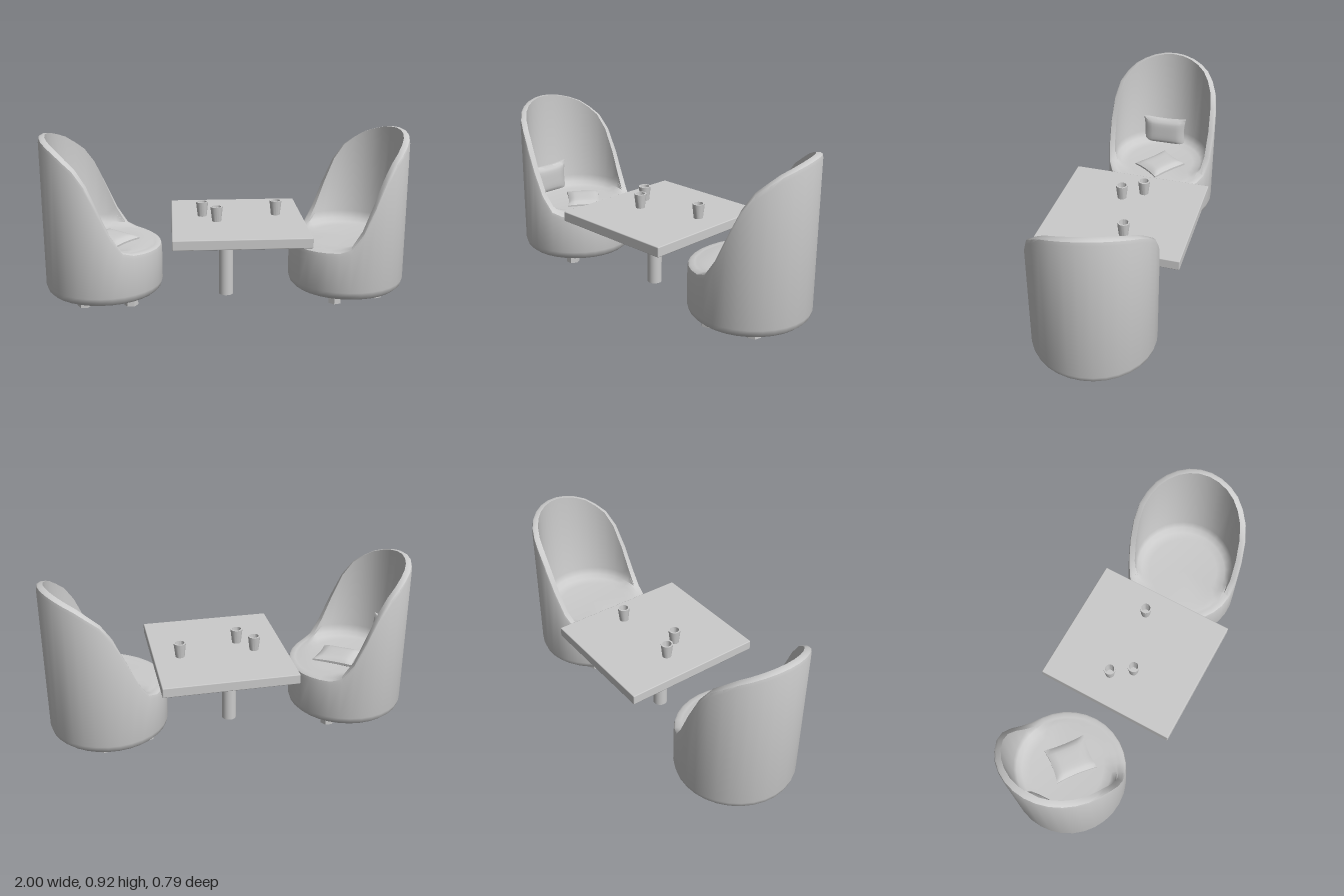
import * as THREE from 'three';
import { toCreasedNormals } from 'three/addons/utils/BufferGeometryUtils.js';
import { RoundedBoxGeometry } from 'three/addons/geometries/RoundedBoxGeometry.js';

const material = new THREE.MeshStandardMaterial({ color: 0xcccccc });
const doubleSided = new THREE.MeshStandardMaterial({ color: 0xcccccc, side: THREE.DoubleSide });

function add(parent, name, geometry, x = 0, y = 0, z = 0, mat = material) {
  const mesh = new THREE.Mesh(geometry, mat);
  mesh.name = name;
  mesh.position.set(x, y, z);
  parent.add(mesh);
  return mesh;
}

// Rim height against the cosine of the angle from the chair back (1 = back, -1 = front)
const RIM = [[-1, 0.313], [-0.56, 0.325], [-0.375, 0.347], [-0.25, 0.4], [-0.09, 0.5],
  [0.06, 0.62], [0.22, 0.72], [0.375, 0.785], [0.69, 0.865], [1, 0.92]];

function rimHeight(c) {
  const k = Math.max(1, RIM.findIndex(([x]) => x >= c - 1e-6));
  const [x0, y0] = RIM[k - 1], [x1, y1] = RIM[k];
  return THREE.MathUtils.mapLinear(c, x0, x1, y0, y1);
}

// Tub shell: one radial cross-section per angle, its wall following the rim
function tubGeometry(segments = 32) {
  const positions = [], index = [];
  let rows = 0;
  for (let i = 0; i < segments; i++) {
    const angle = (i / segments) * Math.PI * 2;
    const h = rimHeight(Math.cos(angle));
    const profile = [
      [0, 0.048], [0.27, 0.048], [0.295, 0.054], [0.314, 0.072], [0.322, 0.1],
      [0.322, h - 0.025], [0.318, h - 0.006], [0.308, h], [0.287, h],
      [0.284, Math.min(h, 0.39)], [0.272, Math.min(h + 0.002, 0.35)],
      [0.245, Math.min(h + 0.005, 0.332)], [0.2, 0.325], [0, 0.325],
    ];
    rows = profile.length;
    for (const [r, y] of profile) positions.push(r * Math.cos(angle), y, r * Math.sin(angle));
  }
  for (let i = 0; i < segments; i++) {
    for (let j = 0; j < rows - 1; j++) {
      const a = i * rows + j, b = ((i + 1) % segments) * rows + j;
      if (j > 0) index.push(a, a + 1, b);
      if (j < rows - 2) index.push(b, a + 1, b + 1);
      else index.push(a, a + 1, b);
      if (j === 0) index.push();
    }
  }
  const geometry = new THREE.BufferGeometry();
  geometry.setAttribute('position', new THREE.Float32BufferAttribute(positions, 3));
  geometry.setIndex(index);
  return toCreasedNormals(geometry, 0.75);
}

// Chair with its back towards local +x
function chair(name, x, rotation) {
  const group = new THREE.Group();
  group.name = name;
  group.position.set(x, 0, -0.022);
  group.rotation.y = rotation;
  add(group, 'tubShell', tubGeometry());
  for (const sx of [-1, 1]) {
    for (const sz of [-1, 1]) {
      const foot = toCreasedNormals(new THREE.CylinderGeometry(0.038, 0.038, 0.045, 6), 0.5);
      foot.rotateY(Math.PI / 2);
      add(group, 'chairFoot', foot, -0.025 + sx * 0.125, 0.0325, sz * 0.175);
    }
  }
  return group;
}

// Pillow: a box thinned towards its edges, with sides drawn in between the corners
function pillowGeometry(w, t, d) {
  const geometry = new THREE.BoxGeometry(w, t, d, 10, 2, 10);
  const p = geometry.attributes.position;
  for (let i = 0; i < p.count; i++) {
    const u = p.getX(i) / (w / 2), v = p.getZ(i) / (d / 2);
    const swell = 0.25 + 0.75 * Math.sqrt(Math.max(0, (1 - u ** 4) * (1 - v ** 4)));
    p.setXYZ(i, p.getX(i) * (0.92 + 0.08 * v * v), p.getY(i) * swell,
      p.getZ(i) * (0.92 + 0.08 * u * u));
  }
  return toCreasedNormals(geometry, 0.8);
}

export function createModel() {
  const model = new THREE.Group();
  model.name = 'tableAndChairs';

  // Table
  add(model, 'tableTop', new RoundedBoxGeometry(0.725, 0.055, 0.785, 1, 0.005), 0.062, 0.417, -0.003);
  add(model, 'tableLeg', new THREE.CylinderGeometry(0.04, 0.04, 0.385, 24), 0, 0.1925, -0.01);

  // Chairs on either side, one turned slightly
  model.add(chair('rightChair', -0.678, Math.PI));
  model.add(chair('leftChair', 0.678, 0.29));

  // Pillows on the right chair
  const seatPillow = add(model, 'seatPillow', pillowGeometry(0.23, 0.05, 0.195), -0.63, 0.333, -0.028);
  seatPillow.rotation.set(0, -0.66, -0.04);
  const backPillow = add(model, 'backPillow', pillowGeometry(0.19, 0.06, 0.27), -0.918, 0.405, 0.015);
  backPillow.rotation.set(0, 0.03, Math.PI / 2);

  // Hollow cups
  const cupProfile = [[0, 0], [0.025, 0], [0.034, 0.081], [0.025, 0.081], [0.02, 0.01], [0, 0.01]]
    .map(([r, y]) => new THREE.Vector2(r, y));
  const cup = toCreasedNormals(new THREE.LatheGeometry(cupProfile, 16), 0.6);
  for (const [x, z] of [[-0.13, -0.06], [-0.055, 0.047], [0.28, -0.06]]) {
    add(model, 'cup', cup, x, 0.4445, z, doubleSided);
  }
  return model;
}
